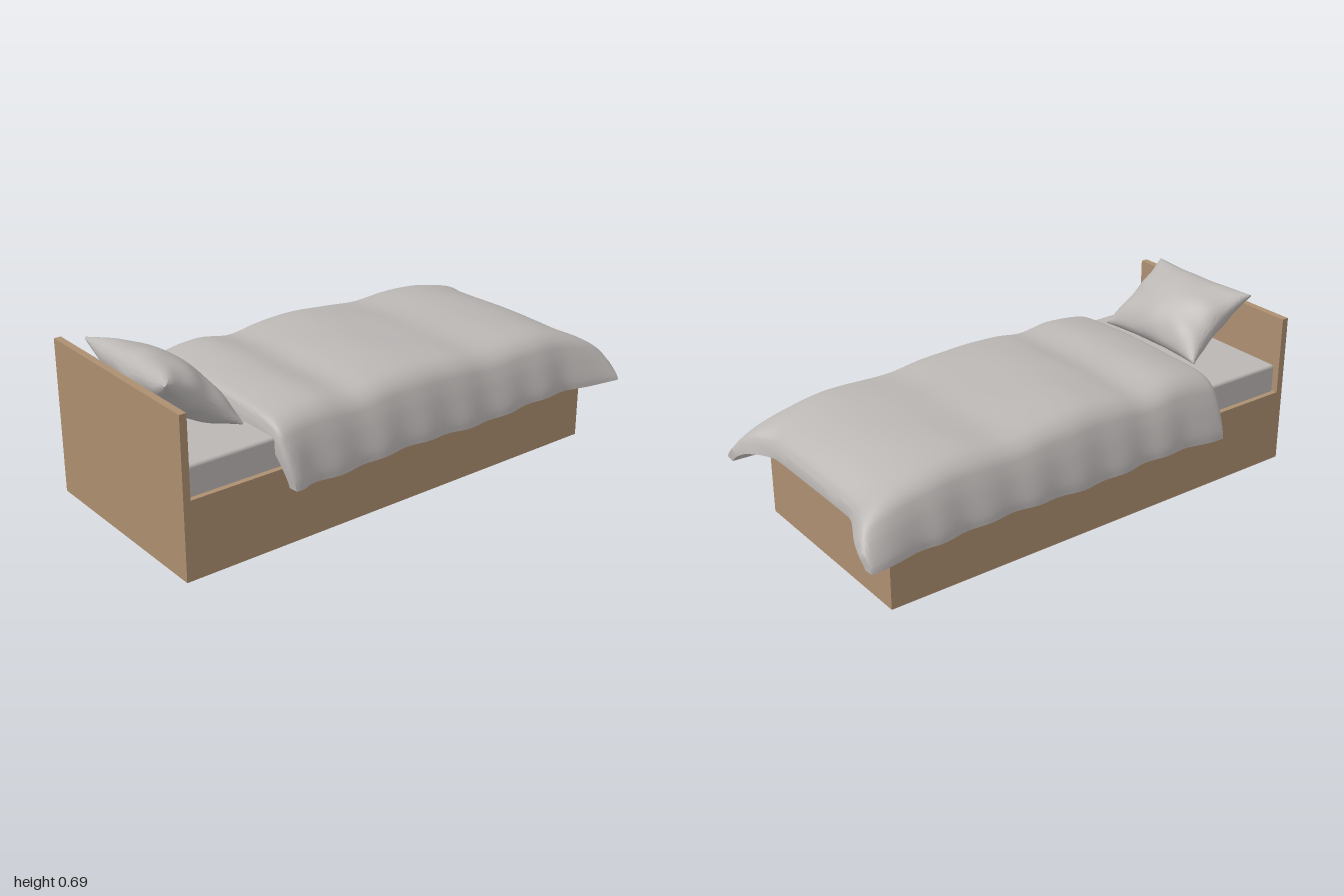
import * as THREE from 'three';
import { toCreasedNormals } from 'three/addons/utils/BufferGeometryUtils.js';
import { RoundedBoxGeometry } from 'three/addons/geometries/RoundedBoxGeometry.js';

const { smoothstep, lerp } = THREE.MathUtils;

// Skin a list of flat rings; each ring runs out along its upper side and back along its lower side.
function loft(rings) {
  const n = rings[0].length, index = [];
  for (let j = 0; j < rings.length - 1; j++) {
    for (let i = 0; i < n; i++) {
      const a = j * n + i, b = j * n + (i + 1) % n;
      index.push(a, b, a + n, b, b + n, a + n);
    }
  }
  // End strips joining the upper and lower sides
  const last = (rings.length - 1) * n;
  for (let i = 0; i < n / 2 - 1; i++) {
    const k = n - 1 - i;
    index.push(i, k, i + 1, i + 1, k, k - 1);
    index.push(last + i, last + i + 1, last + k, last + i + 1, last + k - 1, last + k);
  }
  const geometry = new THREE.BufferGeometry().setFromPoints(rings.flat());
  geometry.setIndex(index);
  return toCreasedNormals(geometry, 1.0);
}

// Draped cover: half cross-section (x, drop) swept along a lengthwise line (z, top height)
function duvetGeometry() {
  const half = new THREE.CatmullRomCurve3([
    [0, 0], [0.15, 0.005], [0.28, 0.02], [0.36, 0.06], [0.41, 0.17], [0.44, 0.36],
    [0.465, 0.62], [0.483, 0.88], [0.486, 1],
  ].map(([x, d]) => new THREE.Vector3(x, d, 0)));
  const spine = new THREE.CatmullRomCurve3([
    [0.622, 0.44], [0.608, 0.475], [0.55, 0.495], [0.42, 0.51], [0.27, 0.488], [0.15, 0.505],
    [0, 0.515], [-0.2, 0.502], [-0.36, 0.482], [-0.55, 0.491], [-0.68, 0.483], [-0.78, 0.46],
    [-0.86, 0.425], [-0.91, 0.385], [-0.928, 0.355],
  ].map(([z, y]) => new THREE.Vector3(0, y, z)));
  const across = 56, along = 80, rings = [];
  for (let j = 0; j <= along; j++) {
    const mid = spine.getPoint(j / along);
    const foot = smoothstep(-mid.z, 0.74, 0.93), head = smoothstep(mid.z, 0.5, 0.62);
    const outer = [], inner = [];
    for (let i = 0; i <= across; i++) {
      const s = i / across * 2 - 1, side = Math.sign(s);
      const p = half.getPoint(Math.abs(s));
      const drop = p.y;
      const corner = smoothstep(p.x, 0.27, 0.475);
      const hem = 0.245 + 0.006 * Math.sin(mid.z * 9 + side);
      // Soft wrinkles on top, shallow folds down the sides
      const wrinkle = 0.003 * Math.sin(mid.z * 13 + p.x * side * 5) * Math.sin(p.x * side * 9 + 1) * (1 - drop);
      const fold = 0.006 * Math.sin(mid.z * 31 + side * 2) * drop * (1 - foot);
      const z = mid.z - 0.072 * corner * foot - 0.022 * drop * head;
      const x = p.x + fold + 0.034 * drop * foot + 0.016 * drop * head;
      outer.push(new THREE.Vector3(side * x, lerp(mid.y, hem, drop) + wrinkle, z));
      const under = Math.min(0.418, mid.y - 0.04);
      inner.push(new THREE.Vector3(side * x * 0.92, lerp(under, hem - 0.003, drop), z));
    }
    rings.push([...outer, ...inner.reverse()]);
  }
  return loft(rings);
}

// Plump pillow with pinched seams and pointed corners, leaning on the headboard
function pillowGeometry() {
  const n = 36, rings = [];
  const centre = new THREE.Vector3(0.028, 0.556, 0.818);
  const up = new THREE.Vector3(0, 0.6, 0.8), out = new THREE.Vector3(0, 0.8, -0.6);
  for (let j = 0; j <= n; j++) {
    const v = Math.cos(Math.PI * j / n), front = [], back = [];
    for (let i = 0; i <= n; i++) {
      const u = -Math.cos(Math.PI * i / n);
      const puff = Math.pow((1 - u * u) * (1 - v * v), 0.5);
      const crease = 1 + 0.1 * (Math.sin(u * 9 + 1) * v * v + Math.sin(v * 8) * u * u);
      const thick = 0.004 + 0.092 * puff * crease;
      const x = u * (0.268 - 0.03 * (1 - v * v));
      const y = v * (0.184 - 0.014 * (1 - u * u));
      const at = (t) => centre.clone().addScaledVector(up, y).addScaledVector(out, t).add(new THREE.Vector3(x, 0, 0));
      front.push(at(thick));
      back.push(at(-thick));
    }
    rings.push([...front, ...back.reverse()]);
  }
  return loft(rings);
}

export function createModel() {
  const wood = new THREE.MeshStandardMaterial({ color: 0xac8f70 });
  wood.name = 'wood';
  const linen = new THREE.MeshStandardMaterial({ color: 0xbab6b4 });
  linen.name = 'linen';

  const bed = new THREE.Group();
  bed.name = 'bed';
  const add = (name, geometry, material, x = 0, y = 0, z = 0) => {
    const mesh = new THREE.Mesh(geometry, material);
    mesh.name = name;
    mesh.position.set(x, y, z);
    bed.add(mesh);
  };

  // Wooden frame
  add('base', new THREE.BoxGeometry(0.842, 0.302, 1.842), wood, 0.005, 0.151, 0.051);
  add('headboard', new THREE.BoxGeometry(0.842, 0.618, 0.028), wood, 0.005, 0.309, 0.986);

  // Bedding
  add('mattress', new RoundedBoxGeometry(0.8, 0.13, 1.82, 3, 0.012), linen, 0.005, 0.352, 0.06);
  add('duvet', duvetGeometry(), linen);
  add('pillow', pillowGeometry(), linen);
  return bed;
}
